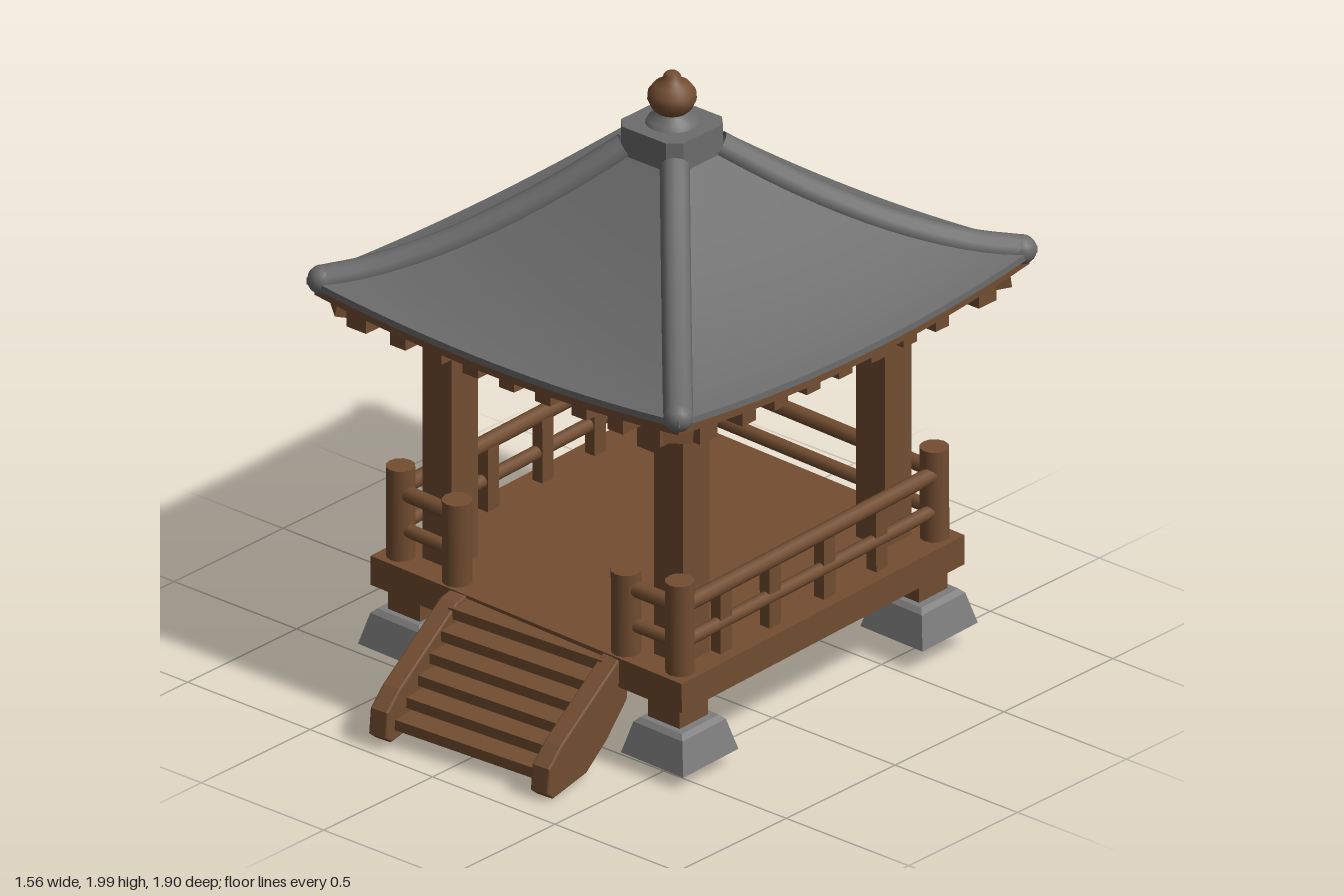
import * as THREE from 'three';

const wood = new THREE.MeshStandardMaterial({ color: 0x74502f, name: 'brown wood', side: THREE.DoubleSide });
wood.color.set(0x724d31);
const tile = new THREE.MeshStandardMaterial({ color: 0x6c6c6c, name: 'grey roof', side: THREE.DoubleSide });
const stone = new THREE.MeshStandardMaterial({ color: 0x7c7c7c, name: 'pale stone' });

const V = (x, y, z) => new THREE.Vector3(x, y, z);

function add(parent, name, geometry, material, x = 0, y = 0, z = 0) {
  const m = new THREE.Mesh(geometry, material);
  m.name = name;
  m.position.set(x, y, z);
  parent.add(m);
  return m;
}
const box = (parent, name, w, h, d, x, y, z, mat = wood) =>
  add(parent, name, new THREE.BoxGeometry(w, h, d), mat, x, y, z);

// Square beam or round rail between two points
function beam(parent, name, a, b, w, h, round = false) {
  const len = a.distanceTo(b);
  const g = round ? new THREE.CylinderGeometry(w / 2, w / 2, len, 10).rotateX(Math.PI / 2)
    : new THREE.BoxGeometry(w, h, len);
  const mid = a.clone().add(b).multiplyScalar(0.5);
  const m = add(parent, name, g, wood, mid.x, mid.y, mid.z);
  m.lookAt(b);
  return m;
}

// Four-sided tapered block given half widths
function taper(parent, name, top, bottom, h, mat, x, y, z) {
  const g = new THREE.CylinderGeometry(top * Math.SQRT2, bottom * Math.SQRT2, h, 4, 1).rotateY(Math.PI / 4).toNonIndexed();
  g.computeVertexNormals();
  return add(parent, name, g, mat, x, y, z);
}

// Point on the curved roof: side k, s along the eave, t from peak to eave
function roofPoint(k, s, t, dy = 0) {
  const bulge = 1 - s * s;
  const hx = 0.1 + 0.66 * t + (k % 2 ? 0.02 * bulge * t : 0);
  const hz = 0.1 + 0.725 * t;
  const y = 1.355 + 0.405 * Math.pow(Math.max(0, 1 - t), 1.65) - 0.045 * t * t * bulge + dy;
  return [V(s * hx, y, hz), V(hx, y, -s * hz), V(-s * hx, y, -hz), V(-hx, y, s * hz)][k];
}

// Strip of roof through rows of [t, height offset]
function roofStrip(k, rows) {
  const n = 20, pos = [], idx = [];
  rows.forEach(([t, dy], i) => {
    for (let j = 0; j <= n; j++) {
      pos.push(...roofPoint(k, -1 + 2 * j / n, t, dy).toArray());
      if (i && j) {
        const d = i * (n + 1) + j, c = d - 1, b = d - n - 1, a = b - 1;
        idx.push(a, c, b, b, c, d);
      }
    }
  });
  const g = new THREE.BufferGeometry();
  g.setAttribute('position', new THREE.Float32BufferAttribute(pos, 3));
  g.setIndex(idx);
  g.computeVertexNormals();
  return g;
}

function makeRoof() {
  const roof = new THREE.Group();
  roof.name = 'roof';
  const slope = Array.from({ length: 17 }, (_, i) => [i / 16, 0]);
  for (let k = 0; k < 4; k++) {
    add(roof, 'roofSlope', roofStrip(k, slope), tile);
    add(roof, 'roofRim', roofStrip(k, [[1, 0], [1, -0.022]]), tile);
    add(roof, 'rimUnderside', roofStrip(k, [[1, -0.022], [0.97, -0.022]]), tile);
    add(roof, 'eaveBoard', roofStrip(k, [[0.975, -0.015], [0.975, -0.06]]), wood);
    add(roof, 'soffit', roofStrip(k, [[0.975, -0.06], [0.9, -0.06], [0.8, -0.06], [0.7, -0.06]]), wood);
    // Rounded ridge with a ball end
    const pts = [0, 0.2, 0.4, 0.6, 0.8, 0.95].map(t => roofPoint(k, 1, t, -0.012));
    add(roof, 'ridge', new THREE.TubeGeometry(new THREE.CatmullRomCurve3(pts), 24, 0.046, 12), tile);
    add(roof, 'ridgeEnd', new THREE.SphereGeometry(0.047, 14, 10), tile, ...pts[5].toArray());
  }
  // Chamfered cap
  const a = 0.128, c = 0.09;
  const outline = [[a, c], [c, a], [-c, a], [-a, c], [-a, -c], [-c, -a], [c, -a], [a, -c]];
  const shape = new THREE.Shape(outline.map(p => new THREE.Vector2(...p)));
  const cap = new THREE.ExtrudeGeometry(shape, { depth: 0.1, bevelEnabled: false }).rotateX(-Math.PI / 2);
  add(roof, 'roofCap', cap, tile, 0, 1.73, 0);
  const lathe = pts => new THREE.LatheGeometry(pts.map(p => new THREE.Vector2(...p)), 24);
  add(roof, 'finialNeck', lathe([[0.085, 1.825], [0.075, 1.845], [0.05, 1.86], [0.045, 1.88]]), tile);
  add(roof, 'finial', lathe([[0.04, 1.86], [0.062, 1.88], [0.076, 1.91], [0.074, 1.935], [0.055, 1.96],
    [0.03, 1.972], [0.026, 1.99], [0.018, 1.998], [0, 2]]), wood);
  return roof;
}

function makeFrame() {
  const frame = new THREE.Group();
  frame.name = 'frame';
  const corners = [[-0.47, 0.49], [0.475, 0.49], [0.43, -0.49], [-0.465, -0.49]];
  corners.forEach(([x, z], i) => {
    box(frame, 'column', 0.118, 0.9, 0.122, x, 0.8, z);
    taper(frame, 'columnBracket', 0.105, 0.06, 0.1, wood, x, 1.19, z);
    const sx = Math.sign(x), sz = Math.sign(z);
    beam(frame, 'cornerRafter', V(x, 1.21, z), V(sx * 0.7, 1.28, sz * 0.76), 0.09, 0.08);
    box(frame, 'eaveBlock', 0.13, 0.08, 0.08, sx * 0.655, 1.25, sz * 0.64);
    box(frame, 'eaveBlock', 0.08, 0.08, 0.13, sx * 0.6, 1.25, sz * 0.71);
    const [nx, nz] = corners[(i + 1) % 4];
    beam(frame, 'tieBeam', V(x, 1.165, z), V(nx, 1.165, nz), 0.08, 0.09);
  });
  // Outer ring beams and rafter ends
  for (const s of [-1, 1]) {
    box(frame, 'eaveBeam', 1.28, 0.07, 0.07, 0, 1.245, s * 0.62);
    box(frame, 'eaveBeam', 0.07, 0.07, 1.32, s * 0.58, 1.245, 0);
    for (let i = -3; i <= 3; i++) {
      box(frame, 'rafterEnd', 0.062, 0.06, 0.17, i * 0.148, 1.225, s * 0.675);
      box(frame, 'rafterEnd', 0.17, 0.06, 0.062, s * 0.625, 1.225, i * 0.148);
    }
  }
  box(frame, 'ceiling', 1.18, 0.02, 1.26, 0, 1.265, 0);
  box(frame, 'ceilingStub', 0.07, 0.16, 0.08, 0.08, 1.18, 0);
  return frame;
}

function makeBase() {
  const base = new THREE.Group();
  base.name = 'base';
  box(base, 'floor', 1.27, 0.1, 1.3, 0, 0.335, 0);
  for (const sx of [-1, 1]) {
    for (const sz of [-1, 1]) {
      taper(base, 'stoneFoot', 0.1, 0.127, 0.105, stone, sx * 0.537, 0.135, sz * 0.55);
      taper(base, 'stoneFootTop', 0.085, 0.1, 0.015, stone, sx * 0.537, 0.195, sz * 0.55);
      box(base, 'leg', 0.13, 0.11, 0.13, sx * 0.53, 0.24, sz * 0.55);
      add(base, 'cornerPost', new THREE.CylinderGeometry(0.046, 0.046, 0.32, 12), wood, sx * 0.57, 0.535, sz * 0.585);
    }
    const px = sx < 0 ? -0.33 : 0.36;
    add(base, 'entrancePost', new THREE.CylinderGeometry(0.048, 0.048, 0.29, 12), wood, px, 0.52, 0.595);
    // Front and side rails with balusters
    for (const [y, w] of [[0.61, 0.052], [0.485, 0.044]]) {
      beam(base, 'sideRail', V(sx * 0.58, y, -0.58), V(sx * 0.58, y, 0.58), w, w, true);
      beam(base, 'frontRail', V(sx * 0.57, y, 0.59), V(px, y, 0.595), w, w, true);
    }
    for (const z of [0.4, 0.175, -0.075, -0.315]) box(base, 'baluster', 0.04, 0.22, 0.052, sx * 0.575, 0.49, z);
  }
  for (const [y, w] of [[0.61, 0.05], [0.475, 0.044]])
    beam(base, 'backRail', V(-0.57, y, -0.59), V(0.57, y, -0.59), w, w, true);
  base.position.set(-0.03, 0, -0.115);
  base.rotation.set(0.028, 0, -0.022);
  return base;
}

function makeStairs() {
  const stairs = new THREE.Group();
  stairs.name = 'stairs';
  // Side board outline as (distance forward, height)
  const side = new THREE.Shape([[0, 0.2], [0, 0.35], [0.04, 0.345], [0.33, 0.165], [0.39, 0.11], [0.395, 0.03],
    [0.37, 0.01], [0.2, 0.03], [0.1, 0.1]].map(p => new THREE.Vector2(...p)));
  const g = new THREE.ExtrudeGeometry(side, { depth: 0.055, bevelThickness: 0.006, bevelSize: 0.006, bevelSegments: 2 });
  g.rotateY(-Math.PI / 2).translate(0.0275, 0, 0);
  for (const s of [-1, 1]) add(stairs, 'stringer', g, wood, s * 0.305, 0.006, 0);
  for (let i = 0; i < 6; i++) box(stairs, 'tread', 0.58, 0.035, 0.085, 0, 0.065 + i * 0.053, 0.315 - i * 0.058);
  beam(stairs, 'stairBacking', V(0, 0.29, 0), V(0, 0.05, 0.29), 0.58, 0.02);
  stairs.position.set(0.005, 0.006, 0.535);
  stairs.rotation.set(0, 0.1, -0.03);
  return stairs;
}

export function createModel() {
  const model = new THREE.Group();
  model.name = 'pavilion';
  const roof = makeRoof(), frame = makeFrame();
  roof.position.z = frame.position.z = -0.1;
  model.add(roof, frame, makeBase(), makeStairs());
  return model;
}
